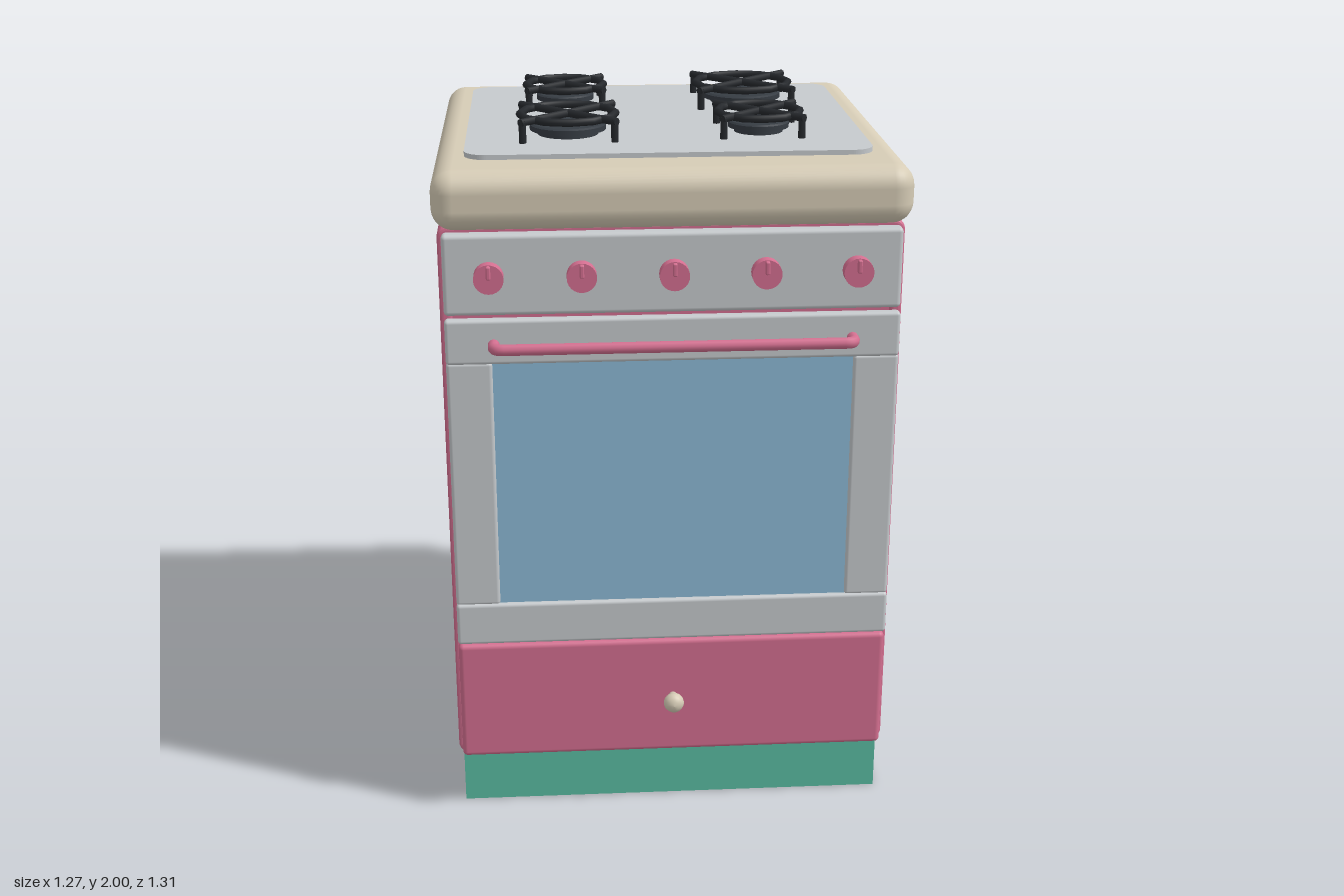
import * as THREE from 'three';
import { RoundedBoxGeometry } from 'three/addons/geometries/RoundedBoxGeometry.js';

const material = (name, color) => {
  const m = new THREE.MeshStandardMaterial({ color });
  m.name = name;
  return m;
};

// Rounded rectangle outline, centred on x = 0
function roundedRect(target, halfWidth, y0, y1, r) {
  const w = halfWidth;
  target.moveTo(-w + r, y0);
  target.lineTo(w - r, y0);
  target.absarc(w - r, y0 + r, r, -Math.PI / 2, 0);
  target.lineTo(w, y1 - r);
  target.absarc(w - r, y1 - r, r, 0, Math.PI / 2);
  target.lineTo(-w + r, y1);
  target.absarc(-w + r, y1 - r, r, Math.PI / 2, Math.PI);
  target.lineTo(-w, y0 + r);
  target.absarc(-w + r, y0 + r, r, Math.PI, Math.PI * 1.5);
  return target;
}

export function createModel() {
  const stove = new THREE.Group();
  stove.name = 'stove';

  const pink = material('pink enamel', 0xd46f90);
  const steel = material('brushed steel', 0xc6cacd);
  const ivory = material('ivory', 0xd6ccb6);
  const teal = material('teal plinth', 0x5abca2);
  const glass = material('blue glass', 0x8cbad6);
  const iron = material('black iron', 0x25282c);
  const burnerGrey = material('burner grey', 0x363c43);

  function add(name, geometry, mat, x = 0, y = 0, z = 0, parent = stove) {
    const mesh = new THREE.Mesh(geometry, mat);
    mesh.name = name;
    mesh.position.set(x, y, z);
    parent.add(mesh);
    return mesh;
  }

  // Box given by its limits, with softened edges when r > 0
  function block(name, mat, [x0, x1], [y0, y1], [z0, z1], r = 0) {
    const size = [x1 - x0, y1 - y0, z1 - z0];
    const geo = r ? new RoundedBoxGeometry(...size, 4, r) : new THREE.BoxGeometry(...size);
    return add(name, geo, mat, (x0 + x1) / 2, (y0 + y1) / 2, (z0 + z1) / 2);
  }

  // Plinth, worktop and hob plate
  block('plinth', teal, [-0.612, 0.612], [0, 0.175], [-0.637, 0.512]);
  block('worktop', ivory, [-0.635, 0.635], [1.76, 1.92], [-0.652, 0.617], 0.058);
  const plateGeo = new THREE.ExtrudeGeometry(
    roundedRect(new THREE.Shape(), 0.55, -0.458, 0.52, 0.06),
    { depth: 0.02, bevelEnabled: false, curveSegments: 8 });
  add('hobPlate', plateGeo.rotateX(-Math.PI / 2), steel, 0, 1.913, 0);

  // Cabinet shell with slightly recessed front and back panels
  const b = 0.01;
  const shellShape = roundedRect(new THREE.Shape(), 0.625 - b, 0.168 + b, 1.76 - b, 0.02);
  shellShape.holes.push(roundedRect(new THREE.Path(), 0.592 + b, 0.2 - b, 1.728 + b, 0.01));
  const shellGeo = new THREE.ExtrudeGeometry(shellShape, {
    depth: 1.184 - 2 * b, bevelThickness: b, bevelSize: b, bevelSegments: 3, curveSegments: 5,
  });
  add('cabinetShell', shellGeo, pink, 0, 0, -0.654 + b);
  block('cabinetCore', pink, [-0.605, 0.605], [0.188, 1.74], [-0.642, 0.518]);

  // Control panel and knobs
  block('controlPanel', steel, [-0.612, 0.612], [1.527, 1.748], [0.535, 0.58], 0.012);
  for (let i = -2; i <= 2; i++) {
    const knob = new THREE.Group();
    knob.name = 'controlKnob';
    knob.position.set(i * 0.245, 1.636, 0.575);
    add('knobDial', new THREE.CylinderGeometry(0.04, 0.04, 0.038, 24).rotateX(Math.PI / 2),
      pink, 0, 0, 0.019, knob);
    add('knobPointer', new RoundedBoxGeometry(0.012, 0.036, 0.026, 2, 0.004),
      pink, 0, 0.02, 0.038, knob);
    stove.add(knob);
  }

  // Oven door: rails, stiles and window
  block('doorTopRail', steel, [-0.612, 0.612], [1.393, 1.518], [0.557, 0.59], 0.01);
  block('doorBottomRail', steel, [-0.612, 0.612], [0.555, 0.68], [0.557, 0.59], 0.01);
  for (const s of [-1, 1]) {
    const xs = [s * 0.488, s * 0.612].sort((p, q) => p - q);
    block('doorStile', steel, xs, [0.676, 1.397], [0.557, 0.585], 0.01);
  }
  block('doorWindow', glass, [-0.495, 0.495], [0.672, 1.4], [0.56, 0.577]);

  // Door handle: one bent bar
  const handlePath = new THREE.CurvePath();
  const v = (x, z) => new THREE.Vector3(x, 1.45, z);
  handlePath.add(new THREE.LineCurve3(v(-0.482, 0.58), v(-0.482, 0.612)));
  handlePath.add(new THREE.QuadraticBezierCurve3(v(-0.482, 0.612), v(-0.482, 0.637), v(-0.455, 0.637)));
  handlePath.add(new THREE.LineCurve3(v(-0.455, 0.637), v(0.455, 0.637)));
  handlePath.add(new THREE.QuadraticBezierCurve3(v(0.455, 0.637), v(0.482, 0.637), v(0.482, 0.612)));
  handlePath.add(new THREE.LineCurve3(v(0.482, 0.612), v(0.482, 0.58)));
  add('doorHandle', new THREE.TubeGeometry(handlePath, 200, 0.016, 10), pink);

  // Drawer with ball knob
  block('drawer', pink, [-0.612, 0.612], [0.183, 0.545], [0.535, 0.577], 0.014);
  const knobProfile = [[0, 0.57], [0.013, 0.57], [0.011, 0.597], [0.021, 0.602], [0.028, 0.612],
    [0.029, 0.622], [0.024, 0.634], [0.013, 0.642], [0, 0.644]];
  add('drawerKnob', new THREE.LatheGeometry(
    knobProfile.map(([r, z]) => new THREE.Vector2(r, z)), 24).rotateX(Math.PI / 2), ivory, 0, 0.364, 0);

  // Burners: stepped cap under a ring grate with crossed bars on four legs
  function burner(x, z, r, capR, reach) {
    const g = new THREE.Group();
    g.name = 'burner';
    g.position.set(x, 1.93, z);
    const steps = [[0, 0], [0.8, 0], [0.8, 0.014], [1, 0.016], [1, 0.03], [0.94, 0.034],
      [0.62, 0.034], [0.6, 0.044], [0.55, 0.047], [0, 0.047]];
    for (let i = 0; i < steps.length - 1; i++) {
      const pair = [steps[i], steps[i + 1]].map(([k, y]) => new THREE.Vector2(k * capR, y));
      add('burnerCap', new THREE.LatheGeometry(pair, 32), burnerGrey, 0, 0, 0, g);
    }
    const ring = new THREE.TorusGeometry(r - 0.011, 0.011, 8, 12).rotateX(Math.PI / 2);
    add('grateRing', ring, iron, 0, 0.058, 0, g);
    for (let i = 0; i < 4; i++) {
      const a = Math.PI / 4 + i * Math.PI / 2;
      if (i < 2) {
        const bar = new THREE.CylinderGeometry(0.011, 0.011, reach * 2, 8).rotateZ(Math.PI / 2);
        add('grateBar', bar, iron, 0, 0.059, 0, g).rotation.y = a;
      }
      const d = reach - 0.008;
      add('grateLeg', new THREE.CylinderGeometry(0.01, 0.01, 0.064, 8), iron,
        Math.cos(a) * d, 0.032, Math.sin(a) * d, g);
    }
    stove.add(g);
  }
  burner(-0.268, -0.253, 0.127, 0.085, 0.16);
  burner(0.264, -0.253, 0.152, 0.116, 0.197);
  burner(-0.268, 0.19, 0.144, 0.106, 0.185);
  burner(0.264, 0.19, 0.127, 0.085, 0.16);

  return stove;
}
